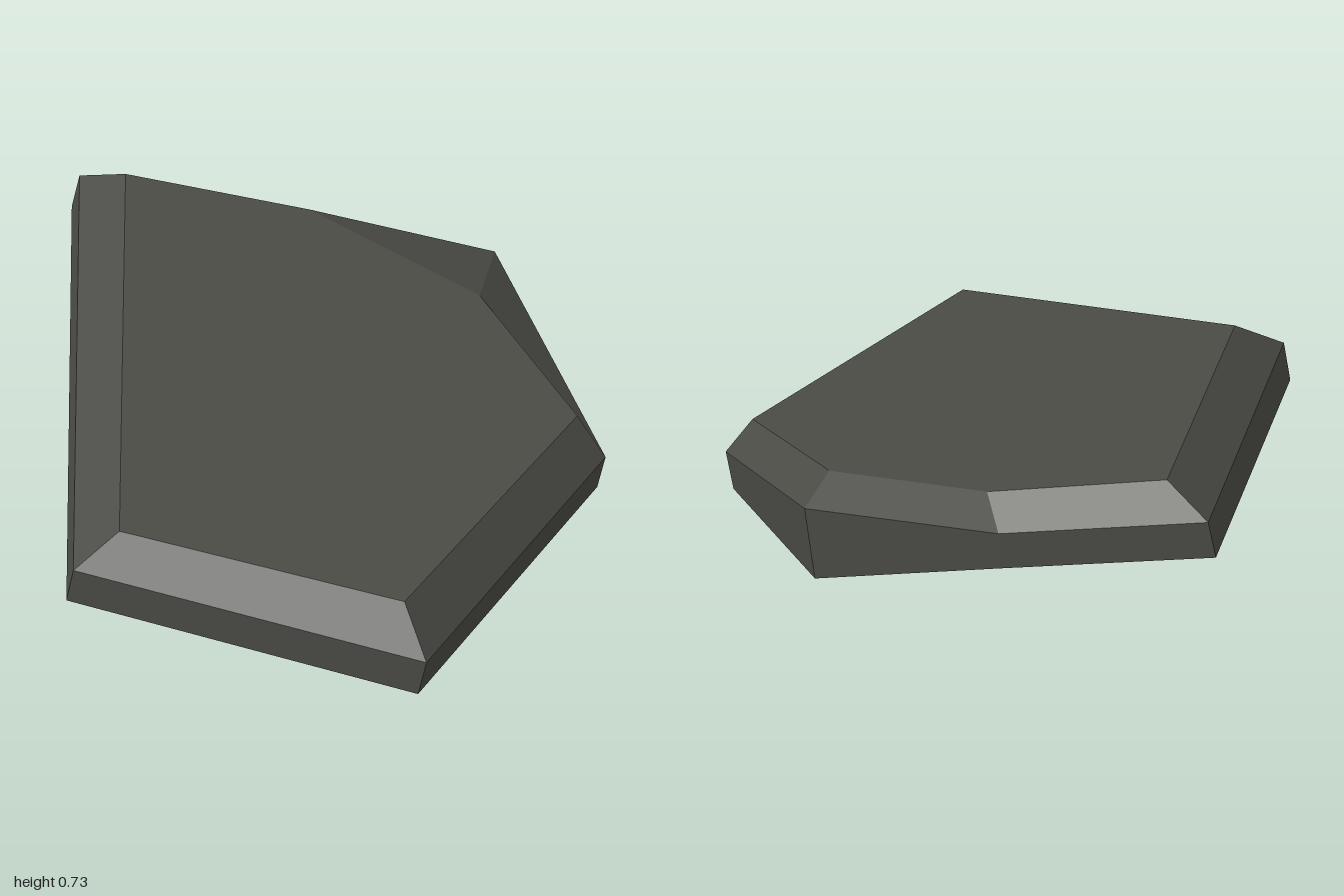
import * as THREE from 'three';

// Three six-cornered rings, counter-clockwise from above, starting front left
const rings = [
  // underside
  [[-0.805, 0.153, 0.79], [0.44, 0, 0.995], [0.94, 0.038, -0.19], [0.468, 0.18, -0.94], [-0.2, 0.35, -1], [-0.972, 0.497, -0.99]],
  // upper edge of the rim
  [[-0.78, 0.293, 0.8], [0.47, 0.143, 1], [0.97, 0.178, -0.18], [0.505, 0.457, -0.94], [-0.2, 0.49, -1], [-0.945, 0.635, -0.99]],
  // top face, inside the bevel
  [[-0.63, 0.4, 0.7], [0.38, 0.303, 0.87], [0.87, 0.335, -0.2], [0.48, 0.462, -0.68], [-0.14, 0.605, -0.92], [-0.775, 0.728, -0.895]],
];

const stone = new THREE.MeshStandardMaterial({ color: 0x4b4c46 });
stone.name = 'dark stone';

// Mesh from facets; each facet is a list of triangles sharing one flat normal
function facetMesh(name, facets) {
  const positions = [], normals = [];
  for (const triangles of facets) {
    const normal = new THREE.Vector3();
    for (const corners of triangles) {
      const [a, b, c] = corners.map((p) => new THREE.Vector3(...p));
      normal.add(b.sub(a).cross(c.sub(a)));
      positions.push(...corners.flat());
    }
    normal.normalize();
    for (let i = 0; i < triangles.length * 3; i++) normals.push(...normal.toArray());
  }
  const geometry = new THREE.BufferGeometry();
  geometry.setAttribute('position', new THREE.Float32BufferAttribute(positions, 3));
  geometry.setAttribute('normal', new THREE.Float32BufferAttribute(normals, 3));
  const mesh = new THREE.Mesh(geometry, stone);
  mesh.name = name;
  return mesh;
}

// Band of four-sided facets joining two rings
function band(lower, upper) {
  return lower.map((a, i) => {
    const j = (i + 1) % lower.length;
    return [[a, lower[j], upper[j]], [a, upper[j], upper[i]]];
  });
}

// Six-sided facet: a middle triangle on corners 0, 2 and 4, plus three ears
function cap(ring) {
  const ears = [0, 2, 4].map((k) => [ring[k], ring[k + 1], ring[(k + 2) % 6]]);
  return [[[ring[0], ring[2], ring[4]], ...ears]];
}

// Same ring walked the other way from the same first corner
const flip = ([first, ...rest]) => [first, ...rest.reverse()];

export function createModel() {
  const group = new THREE.Group();
  group.name = 'stoneSlab';
  const [bottom, rim, top] = rings;
  group.add(
    facetMesh('underside', cap(flip(bottom))),
    facetMesh('rim', band(bottom, rim)),
    facetMesh('bevel', band(rim, top)),
    facetMesh('topFace', cap(top)),
  );
  return group;
}
